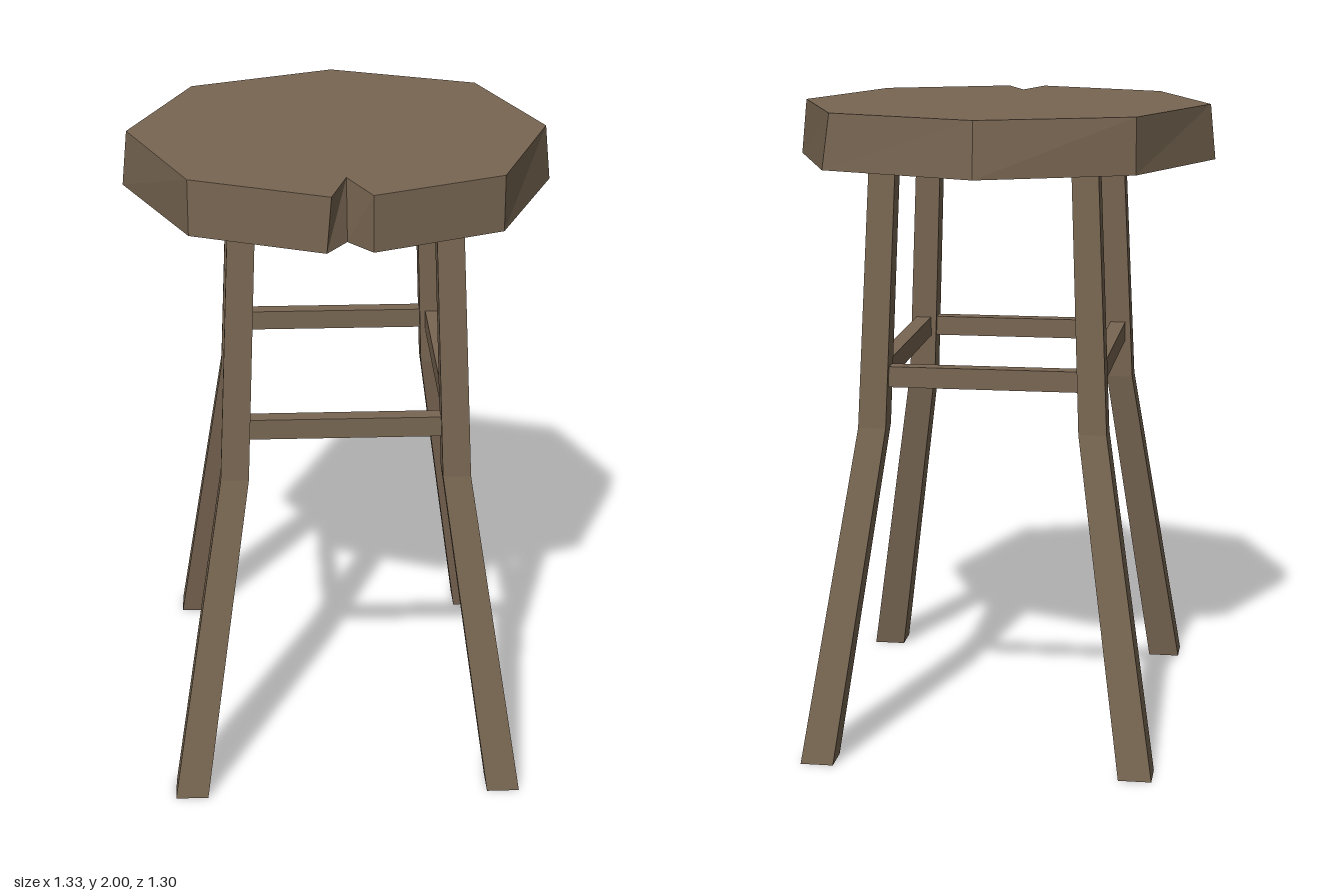
import * as THREE from 'three';

const wood = new THREE.MeshStandardMaterial({ color: 0x786652 });
wood.name = 'brownWood';

// Closed solid through stacked rings of [x, z] points, lowest ring first.
// Rings run counter-clockwise in the (x, -z) plane, i.e. seen from above.
function loft(rings, heights) {
  const n = rings[0].length;
  const pos = [];
  const put = (r, i) => pos.push(rings[r][i % n][0], heights[r], rings[r][i % n][1]);
  for (let r = 0; r < rings.length - 1; r++) {
    for (let i = 0; i < n; i++) {
      put(r, i); put(r, i + 1); put(r + 1, i + 1);
      put(r, i); put(r + 1, i + 1); put(r + 1, i);
    }
  }
  // Caps
  const last = rings.length - 1;
  for (const [r, up] of [[0, false], [last, true]]) {
    const outline = rings[r].map(([x, z]) => new THREE.Vector2(x, -z));
    for (const [a, b, c] of THREE.ShapeUtils.triangulateShape(outline, [])) {
      const p = outline[a], q = outline[b], s = outline[c];
      const ccw = (q.x - p.x) * (s.y - p.y) - (q.y - p.y) * (s.x - p.x) > 0;
      for (const i of ccw === up ? [a, b, c] : [a, c, b]) put(r, i);
    }
  }
  const geo = new THREE.BufferGeometry();
  geo.setAttribute('position', new THREE.Float32BufferAttribute(pos, 3));
  geo.computeVertexNormals();
  return geo;
}

function add(group, name, geometry) {
  const mesh = new THREE.Mesh(geometry, wood);
  mesh.name = name;
  group.add(mesh);
  return mesh;
}

const square = (x, z, size) => {
  const h = size / 2;
  return [[x - h, z + h], [x + h, z + h], [x + h, z - h], [x - h, z - h]];
};

export function createModel() {
  const stool = new THREE.Group();
  stool.name = 'stool';
  const cx = 0.005;

  // Eight-sided seat with a split in its front edge, slightly wider below
  const seatBottom = [
    [0.005, 0.535], [0.077, 0.625], [0.468, 0.465], [0.66, 0], [0.492, -0.465],
    [0.005, -0.653], [-0.455, -0.465], [-0.665, 0], [-0.455, 0.465], [-0.058, 0.628],
  ];
  const seatTop = [
    [0.005, 0.465], [0.075, 0.625], [0.468, 0.465], [0.643, 0], [0.468, -0.465],
    [0.005, -0.638], [-0.455, -0.465], [-0.648, 0], [-0.455, 0.465], [-0.045, 0.634],
  ];
  add(stool, 'seat', loft([seatBottom, seatTop], [1.828, 2]));

  // Four square legs that bend outwards below the rails
  for (const [sx, xName] of [[1, 'Left'], [-1, 'Right']]) {
    for (const [sz, zName] of [[1, 'front'], [-1, 'back']]) {
      const rings = [[0.495, 0.6, 0.102], [0.34, 0.442, 0.086], [0.307, 0.406, 0.081]]
        .map(([x, z, size]) => square(cx + sx * x, sz * z, size));
      add(stool, `${zName}${xName}Leg`, loft(rings, [0, 1.04, 1.84]));
    }
  }

  // Rails joining neighbouring legs
  const railY = 1.197, railH = 0.064, railW = 0.05;
  for (const s of [1, -1]) {
    add(stool, s > 0 ? 'frontRail' : 'backRail', new THREE.BoxGeometry(0.62, railH, railW))
      .position.set(cx, railY, s * 0.433);
    add(stool, s > 0 ? 'leftRail' : 'rightRail', new THREE.BoxGeometry(railW, railH, 0.82))
      .position.set(cx + s * 0.333, railY, 0);
  }
  return stool;
}
